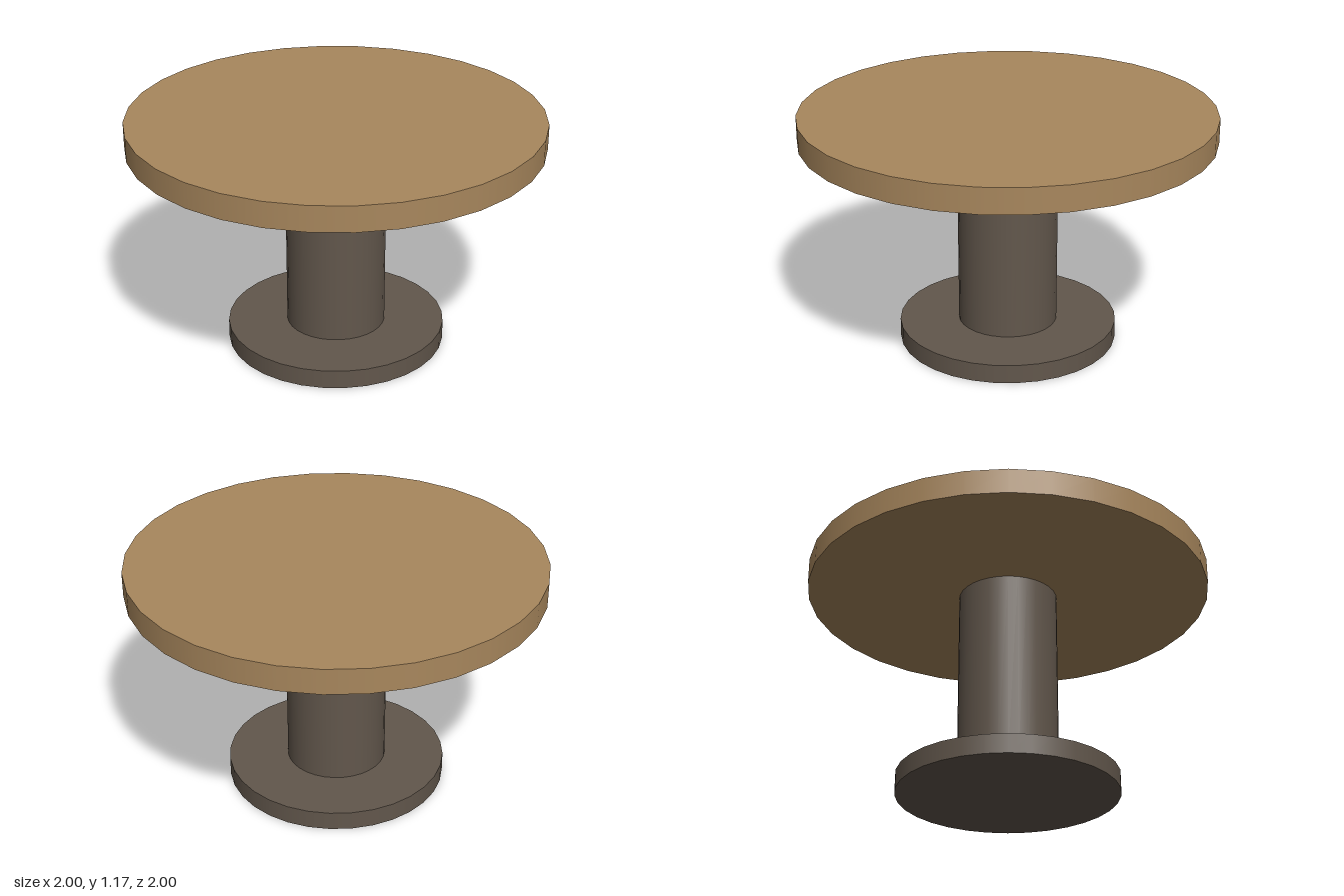
import * as THREE from 'three';

export function createModel() {
  const table = new THREE.Group();
  table.name = 'pedestalTable';

  const wood = new THREE.MeshStandardMaterial({ color: 0xa8875d });
  const metal = new THREE.MeshStandardMaterial({ color: 0x62574c });

  // Upright round part spanning bottom to top
  function addDisc(name, radius, bottom, top, material) {
    const geometry = new THREE.CylinderGeometry(radius, radius, top - bottom, 32);
    const mesh = new THREE.Mesh(geometry, material);
    mesh.name = name;
    mesh.position.y = (bottom + top) / 2;
    table.add(mesh);
  }

  addDisc('base', 0.537, 0, 0.093, metal);
  addDisc('column', 0.244, 0.093, 1.05, metal);
  addDisc('tabletop', 1, 1.05, 1.173, wood);

  return table;
}
